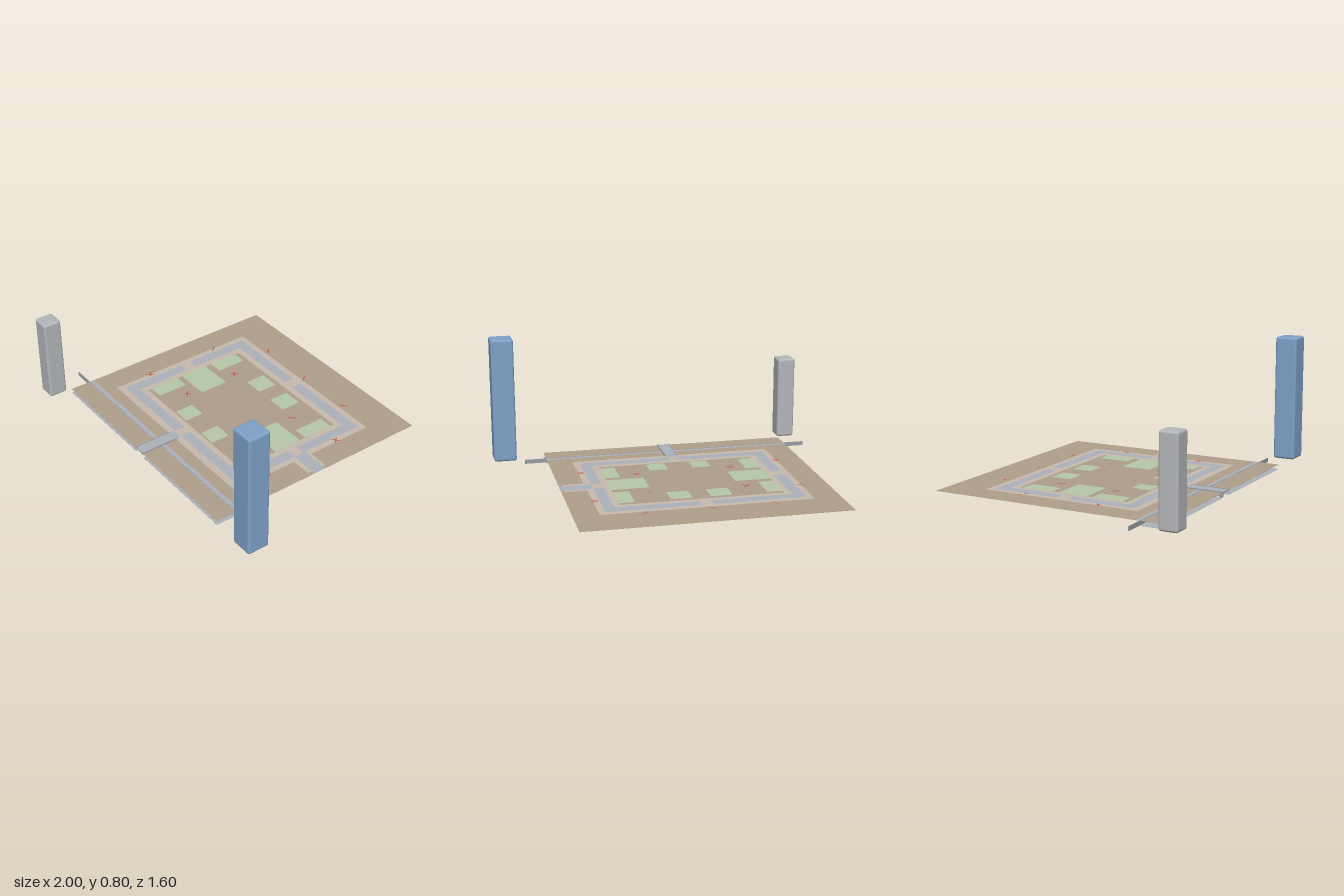
import * as THREE from 'three';
import { RoundedBoxGeometry } from 'three/addons/geometries/RoundedBoxGeometry.js';

function mat(name, color) {
  const m = new THREE.MeshStandardMaterial({ color, side: THREE.DoubleSide });
  m.name = name;
  return m;
}

export function createModel() {
  const root = new THREE.Group();
  root.name = 'sitePlan';
  const earth = mat('earth', 0xb0a08c);
  const courtyardEarth = mat('courtyardEarth', 0xaf9e8d);
  const bank = mat('paleBank', 0xc8bbae);
  const water = mat('water', 0xadb3bb);
  const grass = mat('grass', 0xb6c9a8);
  const red = mat('redMark', 0xd03a2c);
  const blue = mat('blueTower', 0x7ea2c8);
  const grey = mat('greyTower', 0xb4b7ba);
  const steel = mat('steel', 0x9a9ea5);

  const add = (name, geo, material, parent = root) => {
    const m = new THREE.Mesh(geo, material);
    m.name = name;
    parent.add(m);
    return m;
  };
  const group = (name) => {
    const g = new THREE.Group();
    g.name = name;
    root.add(g);
    return g;
  };
  // Box given by its limits on each axis
  const box = (name, x0, x1, y0, y1, z0, z1, material, parent) => {
    const m = add(name, new THREE.BoxGeometry(x1 - x0, y1 - y0, z1 - z0), material, parent);
    m.position.set((x0 + x1) / 2, (y0 + y1) / 2, (z0 + z1) / 2);
    return m;
  };
  // Flat painted rectangle on a numbered layer above the ground
  const GROUND = 0.035, STEP = 0.0007;
  const patch = (name, x0, x1, z0, z1, layer, material, parent) => {
    const g = new THREE.PlaneGeometry(x1 - x0, z1 - z0).rotateX(-Math.PI / 2);
    const m = add(name, g, material, parent);
    m.position.set((x0 + x1) / 2, GROUND + layer * STEP, (z0 + z1) / 2);
    return m;
  };
  // Flat rectangular ring from outer and inner limits [x0, x1, z0, z1]
  const ring = (name, outer, inner, layer, material) => {
    const outline = (Kind, [x0, x1, z0, z1]) => new Kind([
      [x0, -z0], [x1, -z0], [x1, -z1], [x0, -z1],
    ].map(([x, y]) => new THREE.Vector2(x, y)));
    const shape = outline(THREE.Shape, outer);
    shape.holes.push(outline(THREE.Path, inner));
    const m = add(name, new THREE.ShapeGeometry(shape).rotateX(-Math.PI / 2), material);
    m.position.y = GROUND + layer * STEP;
  };

  // Ground sheet, banks, moat and courtyard
  box('ground', -0.87, 0.68, GROUND - 0.001, GROUND, -0.8, 0.65, earth);
  ring('moatBank', [-0.711, 0.53, -0.567, 0.417], [-0.572, 0.39, -0.427, 0.274], 1, bank);
  ring('moat', [-0.676, 0.492, -0.53, 0.375], [-0.61, 0.428, -0.465, 0.31], 2, water);
  patch('courtyard', -0.572, 0.39, -0.427, 0.274, 1, courtyardEarth);
  patch('eastBank', 0.53, 0.658, -0.139, -0.01, 1, bank);
  patch('eastChannel', 0.49, 0.68, -0.118, -0.041, 2, water);
  patch('southChannel', -0.134, -0.055, 0.37, 0.65, 2, water);
  patch('frontStream', -0.87, 0.68, 0.492, 0.526, 1, water);

  // Lawns
  const lawns = group('lawns');
  for (const [x0, x1, z0, z1] of [
    [-0.572, -0.48, -0.4, -0.208], [-0.273, -0.144, -0.4, -0.273],
    [-0.037, 0.09, -0.4, -0.273], [0.3, 0.39, -0.4, -0.208],
    [-0.572, -0.353, -0.166, 0.018], [0.166, 0.39, -0.166, 0.018],
    [-0.572, -0.48, 0.053, 0.248], [-0.283, -0.171, 0.144, 0.264],
    [-0.016, 0.1, 0.144, 0.264], [0.3, 0.39, 0.053, 0.248],
  ]) patch('lawn', x0, x1, z0, z1, 2, grass, lawns);

  // Plank crossings over the moat
  const crossings = group('crossings');
  for (const [x, z, turned] of [
    [-0.093, -0.5, false], [-0.093, 0.342, false], [-0.65, -0.078, true], [0.455, -0.078, true],
  ]) {
    const c = new THREE.Group();
    c.name = 'crossing';
    c.position.set(x, 0, z);
    if (turned) c.rotation.y = Math.PI / 2;
    crossings.add(c);
    for (let i = 0; i < 5; i++) {
      const z0 = -0.04 + i * 0.016;
      patch('plank', -0.034, 0.034, z0, z0 + 0.0145, 3, bank, c);
    }
  }

  // Red position marks: 'x' crossed, '\\' and '/' single strokes
  const marks = group('positionMarks');
  for (const [x, z, kind] of [
    [-0.47, -0.594, '\\'], [-0.093, -0.588, '\\'], [0.28, -0.594, '/'],
    [-0.706, -0.322, '\\'], [0.518, -0.337, 'x'], [-0.393, -0.262, 'x'],
    [0.187, -0.262, '/'], [-0.706, 0.17, 'x'], [-0.393, 0.102, 'x'],
    [0.19, 0.09, 'x'], [0.518, 0.182, 'x'],
  ]) {
    for (const turn of [1, -1]) {
      if (kind === '/' && turn < 0 || kind === '\\' && turn > 0) continue;
      const m = patch('markStroke', x - 0.025, x + 0.025, z - 0.0028, z + 0.0028, 4, red, marks);
      m.rotation.y = turn * Math.PI / 4;
    }
  }

  // Long upright wall strip and the low channel bed in front of it
  box('frontWall', -1, 0.812, 0.012, 0.0375, 0.519, 0.523, steel);
  for (const [x0, x1] of [[-0.87, -0.134], [-0.055, 0.68]])
    box('channelBed', x0, x1, 0.007, 0.0085, 0.522, 0.65, water);

  // Front bridge with side beams and posts
  const bridge = group('frontBridge');
  box('deck', -0.132, -0.057, 0.03, 0.039, 0.412, 0.65, water, bridge);
  for (const x of [-0.134, -0.059])
    box('sideBeam', x, x + 0.004, 0.03, 0.0415, 0.412, 0.65, steel, bridge);
  for (const z of [0.53, 0.575, 0.622]) {
    const post = add('post', new THREE.CylinderGeometry(0.012, 0.012, 0.031, 12), steel, bridge);
    post.position.set(-0.097, 0.0155, z);
  }

  // Two soft-edged towers
  const tower = (name, x, z, w, d, top, material) => {
    const h = top - 0.03;
    add(name, new RoundedBoxGeometry(w, h, d, 3, 0.014), material).position.set(x, 0.03 + h / 2, z);
  };
  tower('greyTower', -0.931, 0.739, 0.112, 0.114, 0.553, grey);
  tower('blueTower', 0.93, 0.606, 0.14, 0.138, 0.8, blue);

  return root;
}
